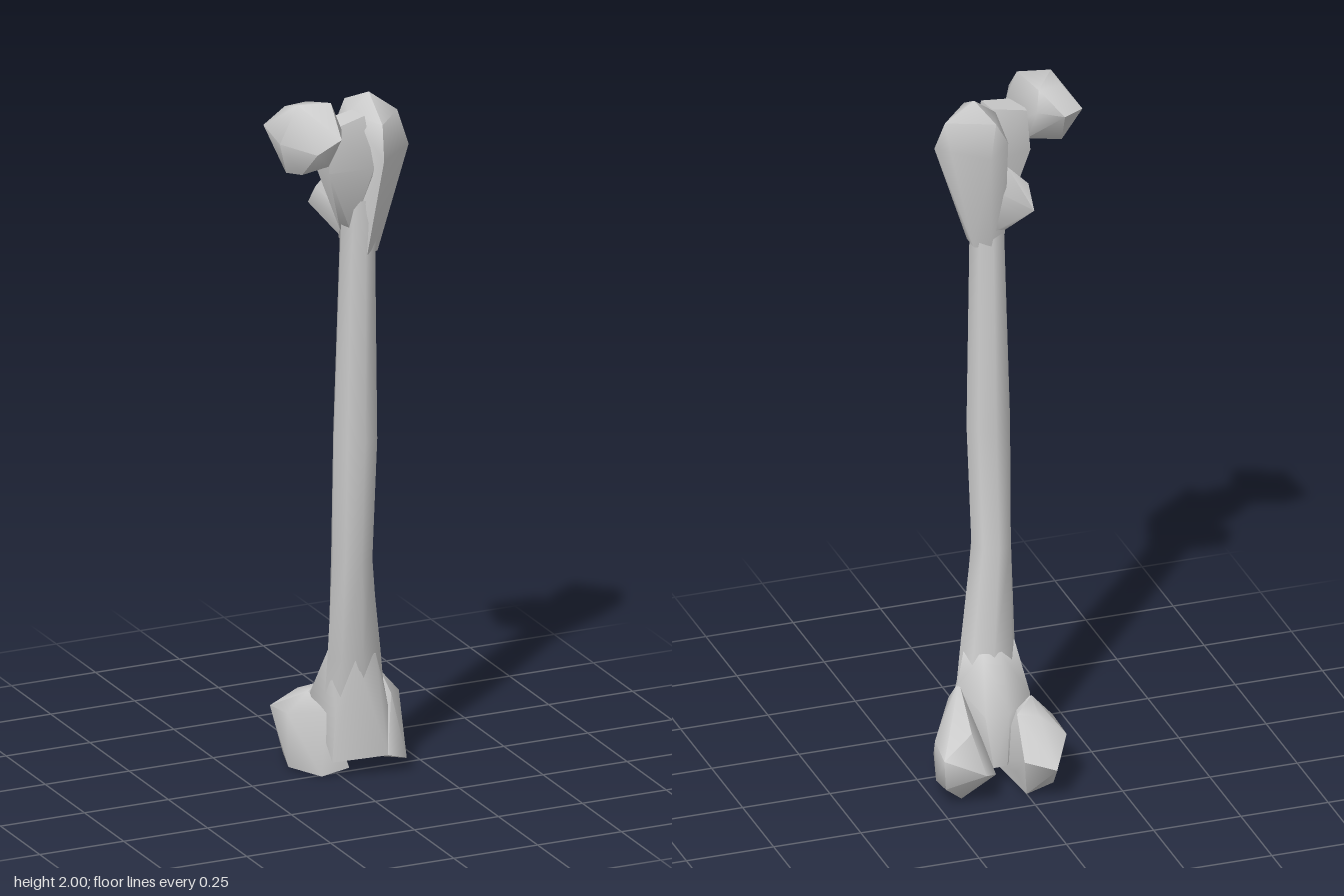
import * as THREE from 'three';
import { mergeVertices, toCreasedNormals } from 'three/addons/utils/BufferGeometryUtils.js';
import { ConvexGeometry } from 'three/addons/geometries/ConvexGeometry.js';

const material = new THREE.MeshStandardMaterial({ color: 0xcccccc, roughness: 0.8 });

// A faceted lump wrapped around a few landmark points, softly shaded
function lump(name, points) {
  const hull = new ConvexGeometry(points.map((p) => new THREE.Vector3(...p)));
  const mesh = new THREE.Mesh(toCreasedNormals(hull, 1.1), material);
  mesh.name = name;
  return mesh;
}

// An eight-sided tube through sections [y, xMin, xMax, zMin, zMax]
function loft(name, sections) {
  const sides = 8;
  let geo = new THREE.CylinderGeometry(1, 1, 1, sides, sections.length - 1, true);
  const pos = geo.attributes.position;
  for (let i = 0; i < pos.count; i++) {
    const [y, x0, x1, z0, z1] = sections[Math.floor(i / (sides + 1))];
    pos.setXYZ(i,
      (x0 + x1) / 2 + pos.getX(i) * (x1 - x0) / 2,
      y,
      (z0 + z1) / 2 + pos.getZ(i) * (z1 - z0) / 2);
  }
  geo.deleteAttribute('uv');
  geo.deleteAttribute('normal');
  geo = mergeVertices(geo);
  geo.computeVertexNormals();
  const mesh = new THREE.Mesh(geo, material);
  mesh.name = name;
  return mesh;
}

export function createModel() {
  const bone = new THREE.Group();
  bone.name = 'thighBone';

  // Long, gently bowed shaft, listed from the top down
  bone.add(loft('shaft', [
    [1.70, -0.04, 0.08, 0.065, 0.18],
    [1.55, -0.04, 0.06, 0.06, 0.168],
    [1.00, -0.05, 0.075, 0.03, 0.16],
    [0.65, -0.045, 0.068, 0.01, 0.14],
    [0.35, -0.04, 0.118, -0.03, 0.09],
    [0.20, -0.04, 0.14, -0.05, 0.07],
  ]));

  // Rounded ball of the hip joint
  bone.add(lump('head', [
    [-0.245, 1.92, 0.06], [-0.247, 1.9, 0.17], [-0.19, 1.91, 0.045], [-0.12, 1.92, 0.075],
    [-0.19, 2.0, 0.16], [-0.1, 2.0, 0.18], [-0.13, 1.98, 0.09], [-0.2, 1.98, 0.1],
    [-0.07, 1.92, 0.185], [-0.105, 1.92, 0.26], [-0.17, 1.88, 0.245], [-0.085, 1.88, 0.13],
    [-0.21, 1.8, 0.13], [-0.11, 1.82, 0.13], [-0.12, 1.83, 0.21], [-0.19, 1.81, 0.19],
  ]));

  // Neck between the ball and the shaft
  bone.add(lump('neck', [
    [-0.11, 1.8, 0.1], [-0.11, 1.8, 0.19], [-0.1, 1.92, 0.1], [-0.1, 1.92, 0.18],
    [0.0, 1.94, 0.1], [0.01, 1.94, 0.16], [0.02, 1.8, 0.2], [0.02, 1.8, 0.06],
    [-0.035, 1.6, 0.1], [-0.02, 1.6, 0.14], [0.02, 1.6, 0.11],
  ]));

  // Large outer knob, tapering down into the shaft
  bone.add(lump('greaterTrochanter', [
    [0.055, 1.98, 0.09], [0.02, 1.94, 0.01], [-0.02, 1.87, 0.025], [0.135, 1.92, 0.1],
    [0.153, 1.83, 0.135], [0.125, 1.84, 0.08], [0.045, 1.92, 0.2], [0.045, 1.82, 0.21],
    [-0.01, 1.93, 0.1], [0.0, 1.9, 0.17], [0.03, 1.83, 0.02],
    [0.058, 1.54, 0.14], [0.058, 1.54, 0.085], [-0.03, 1.57, 0.14], [-0.03, 1.57, 0.08],
    [0.015, 1.54, 0.166], [0.015, 1.54, 0.063],
  ]));

  // Small pointed knob behind the neck
  bone.add(lump('lesserTrochanter', [
    [-0.09, 1.66, 0.012], [-0.09, 1.72, 0.06], [-0.03, 1.78, 0.06], [0.02, 1.72, 0.07],
    [0.02, 1.58, 0.07], [-0.03, 1.58, 0.08], [-0.04, 1.65, 0.13],
  ]));

  // Flared lower end joining the two condyles
  bone.add(lump('lowerEnd', [
    [-0.035, 0.38, 0.03], [0.02, 0.36, 0.085], [0.08, 0.36, 0.08], [0.11, 0.36, 0.02],
    [0.02, 0.36, -0.025], [0.07, 0.36, -0.025], [-0.06, 0.23, -0.04], [0.14, 0.27, -0.01],
    [-0.025, 0.2, 0.05], [0.12, 0.2, 0.075], [0.12, 0.06, 0.075], [-0.03, 0.05, 0.04],
    [0.02, 0.21, -0.1], [0.09, 0.21, -0.1], [0.03, 0.06, -0.11], [0.07, 0.06, -0.11],
  ]));

  // Knuckle on the inner side
  bone.add(lump('innerCondyle', [
    [-0.06, 0.1, -0.258], [0.02, 0.12, -0.22], [0.02, 0.06, -0.155], [-0.118, 0.16, -0.17],
    [-0.115, 0.17, -0.065], [-0.105, 0.01, -0.08], [-0.08, 0.02, -0.17], [0.0, 0.003, -0.18],
    [-0.05, 0.005, 0.015], [-0.04, 0.19, 0.02], [-0.06, 0.23, -0.05], [0.01, 0.22, -0.13],
    [0.03, 0.02, 0.02], [-0.05, 0.21, -0.14],
  ]));

  // Knuckle on the outer side
  bone.add(lump('outerCondyle', [
    [0.13, 0.1, -0.225], [0.243, 0.15, -0.2], [0.238, 0.17, -0.11], [0.235, 0.06, -0.19],
    [0.235, 0.05, -0.11], [0.18, 0.01, -0.16], [0.18, 0.04, 0.065], [0.12, 0.06, 0.075],
    [0.07, 0.05, -0.13], [0.07, 0.045, 0.0], [0.13, 0.28, 0.0], [0.15, 0.22, 0.03],
    [0.15, 0.2, -0.16], [0.12, 0.02, -0.12],
  ]));

  return bone;
}
